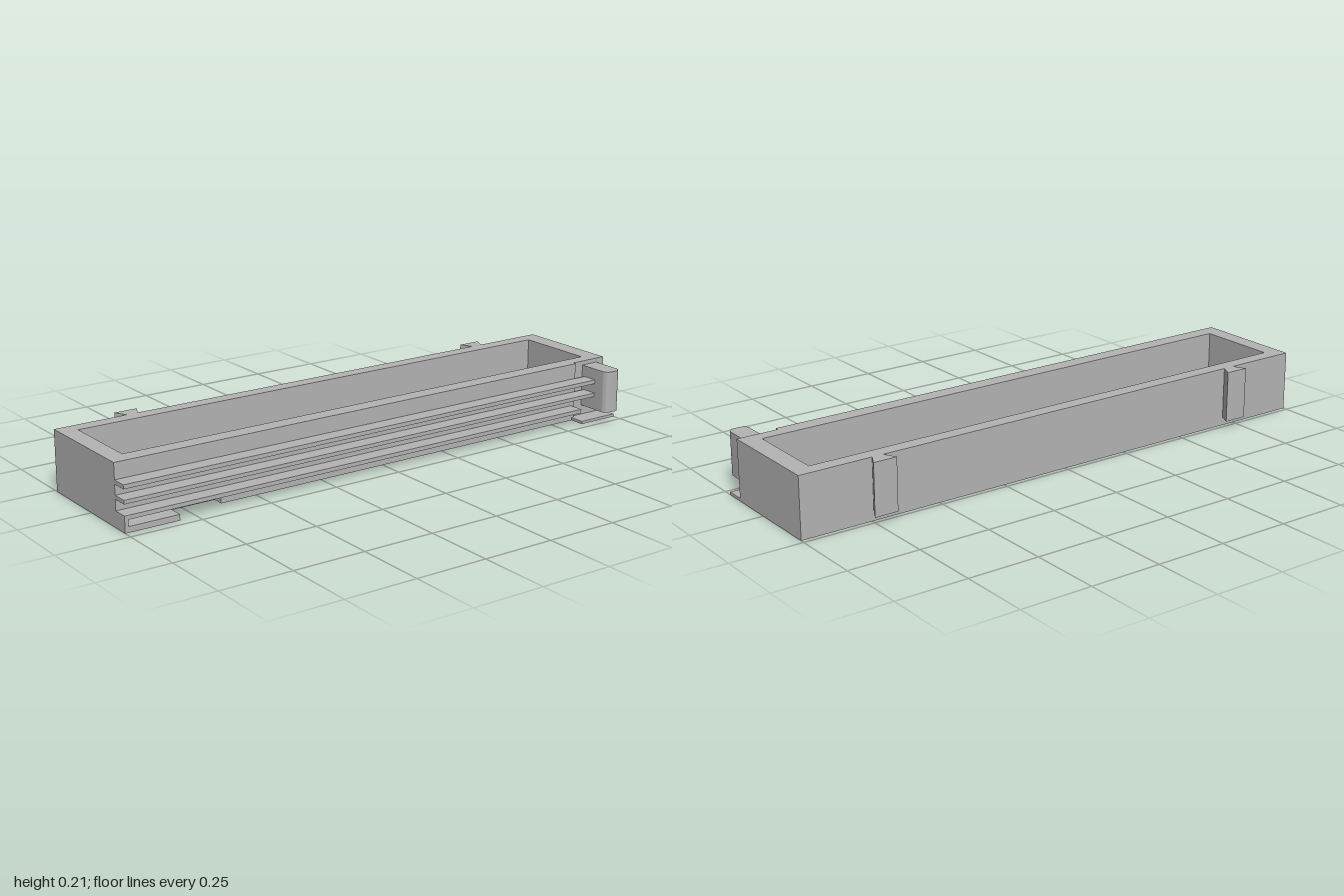
import * as THREE from 'three';
import { toCreasedNormals } from 'three/addons/utils/BufferGeometryUtils.js';

const grey = new THREE.MeshStandardMaterial({ color: 0xb3b3b3 });
grey.name = 'plain grey';

// Plan outline of [x, z] points
function plan(points) {
  return new THREE.Shape(points.map(([x, z]) => new THREE.Vector2(x, -z)));
}

// Upright slab made from a plan outline, between heights y0 and y1
function slab(name, shape, y0, y1) {
  let geo = new THREE.ExtrudeGeometry(shape, { depth: y1 - y0, bevelEnabled: false, curveSegments: 8 });
  geo.rotateX(-Math.PI / 2);
  geo.translate(0, y0, 0);
  geo = toCreasedNormals(geo, 0.6);
  const mesh = new THREE.Mesh(geo, grey);
  mesh.name = name;
  return mesh;
}

function box(name, x0, x1, y0, y1, z0, z1) {
  const mesh = new THREE.Mesh(new THREE.BoxGeometry(x1 - x0, y1 - y0, z1 - z0), grey);
  mesh.position.set((x0 + x1) / 2, (y0 + y1) / 2, (z0 + z1) / 2);
  mesh.name = name;
  return mesh;
}

export function createModel() {
  const group = new THREE.Group();
  group.name = 'railTray';
  const L = -0.235, R = 0.162, E = 0.217;

  // Tray body: notched underside, floor and hollow walls; back corner is set in
  const corner = [[0.15, -1], [0.15, -0.855], [R, -0.855]];
  const outline = [[L, 1], [L, -1], ...corner, [R, 1]];
  const notched = [[L, 1], [L, -1], ...corner, [R, 0.63], [0.122, 0.63], [0.122, 0.81], [R, 0.81], [R, 1]];
  group.add(slab('trayUnderside', plan(notched), 0, 0.04));
  group.add(slab('trayFloor', plan(outline), 0.04, 0.05));
  const walls = plan(outline);
  walls.holes.push(plan([[-0.185, 0.94], [0.105, 0.94], [0.105, -0.935], [-0.185, -0.935]]));
  group.add(slab('trayWalls', walls, 0.05, 0.21));

  // Long side fins
  [[0.042, 0.056, -0.84], [0.093, 0.106, -0.9], [0.141, 0.155, -0.9]].forEach(([y0, y1, z0]) => {
    group.add(box('sideFin', R, E, y0, y1, z0, 1));
  });

  // Low front stop and the two bottom ledges
  group.add(box('frontStop', R, E, 0, 0.043, 0.988, 1));
  group.add(box('frontLedge', R, E, 0, 0.02, 0.81, 0.988));
  group.add(box('backLedge', 0.15, E, 0, 0.01, -1, -0.845));

  // Rounded grip at the back of the fin side
  const grip = new THREE.Shape();
  const x1 = 0.277, za = 0.9, zb = 0.967, r = 0.022;
  grip.moveTo(0.15, za);
  grip.lineTo(x1 - r, za);
  grip.absarc(x1 - r, za + r, r, -Math.PI / 2, 0, false);
  grip.lineTo(x1, zb - r);
  grip.absarc(x1 - r, zb - r, r, 0, Math.PI / 2, false);
  grip.lineTo(0.15, zb);
  group.add(slab('grip', grip, 0.045, 0.195));

  // Dovetail clips on the other side
  for (const z of [-0.724, 0.72]) {
    const clip = plan([
      [L, z + 0.02], [-0.278, z + 0.042], [-0.278, z - 0.042], [L, z - 0.02],
    ]);
    group.add(slab('dovetailClip', clip, 0.03, 0.21));
  }
  return group;
}
